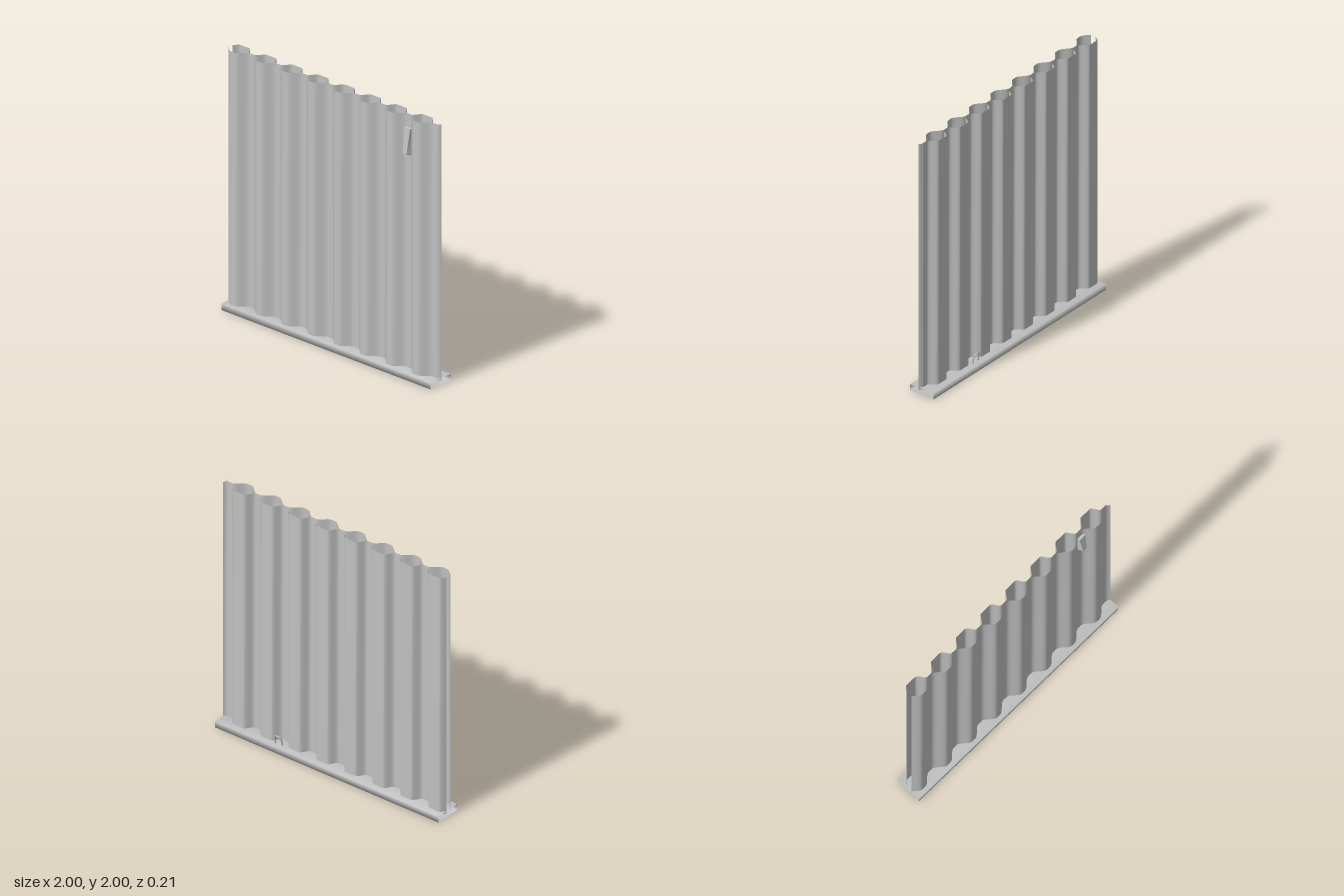
import * as THREE from 'three';

// Sweep a list of points along an offset vector, sharing vertices so the normals stay smooth
function sweep(points, offset, closed = false) {
  const n = points.length, pos = [], idx = [];
  for (const p of points) pos.push(...p);
  for (const p of points) pos.push(p[0] + offset[0], p[1] + offset[1], p[2] + offset[2]);
  for (let i = 0; i < (closed ? n : n - 1); i++) {
    const j = (i + 1) % n;
    idx.push(i, j, n + j, i, n + j, n + i);
  }
  const g = new THREE.BufferGeometry();
  g.setAttribute('position', new THREE.Float32BufferAttribute(pos, 3));
  g.setIndex(idx);
  g.computeVertexNormals();
  return g;
}

// Height (0..1) of the corrugation at x: ridges every 0.25 with smooth flanks
const PITCH = 0.25, RIDGE = 0.08;
function wave(x, halfRidge, flank) {
  const t = (x - RIDGE) / PITCH;
  const d = Math.abs(t - Math.round(t)) * PITCH;
  return 1 - THREE.MathUtils.smoothstep(d, halfRidge, halfRidge + flank);
}

export function createModel() {
  const group = new THREE.Group();
  const grey = new THREE.MeshStandardMaterial({ color: 0xc0c0c0, side: THREE.DoubleSide });
  grey.name = 'light grey';
  const add = (name, geometry) => {
    const mesh = new THREE.Mesh(geometry, grey);
    mesh.name = name;
    group.add(mesh);
  };

  // Two corrugated sheets, open at the top and the ends
  const sheet = (z0, depth, halfRidge, flank, dir) => {
    const pts = [], steps = 200;
    for (let i = 0; i <= steps; i++) {
      const x = dir * (-1 + (2 * i) / steps);
      pts.push([x, 0.03, z0 + depth * wave(x, halfRidge, flank)]);
    }
    return sweep(pts, [0, 1.97, 0]);
  };
  add('frontSheet', sheet(0.014, 0.06, 0.015, 0.095, 1));
  add('backSheet', sheet(0.006, -0.06, 0.045, 0.055, -1));

  // Flat base channel, open at both ends
  add('base', sweep([
    [-1, 0, 0.105], [-1, 0.05, 0.105], [-1, 0.05, -0.105], [-1, 0, -0.105],
  ], [2, 0, 0], true).scale(1, 1, 1));

  // Tapered grip in a valley of the front sheet
  const grip = new THREE.BoxGeometry(0.065, 0.21, 0.05);
  const p = grip.attributes.position;
  for (let i = 0; i < p.count; i++) {
    if (p.getZ(i) < 0) continue;
    const top = p.getY(i) > 0;
    p.setX(i, Math.sign(p.getX(i)) * (top ? 0.029 : 0.017));
    p.setY(i, top ? 0.105 : -0.088);
    p.setZ(i, top ? 0 : 0.025);
  }
  grip.translate(0.712, 1.795, 0.035);
  const flatGrip = grip.toNonIndexed();
  flatGrip.computeVertexNormals();
  add('grip', flatGrip);

  // Small bent loop low on the back
  const loop = [
    [-0.03, 0.045, -0.062], [-0.03, 0.085, -0.067], [-0.02, 0.118, -0.078], [0, 0.126, -0.081],
    [0.02, 0.118, -0.078], [0.03, 0.085, -0.067], [0.03, 0.045, -0.062],
  ].map(([x, y, z]) => new THREE.Vector3(x + 0.462, y, z));
  add('backLoop', new THREE.TubeGeometry(new THREE.CatmullRomCurve3(loop), 24, 0.006, 8));

  return group;
}
